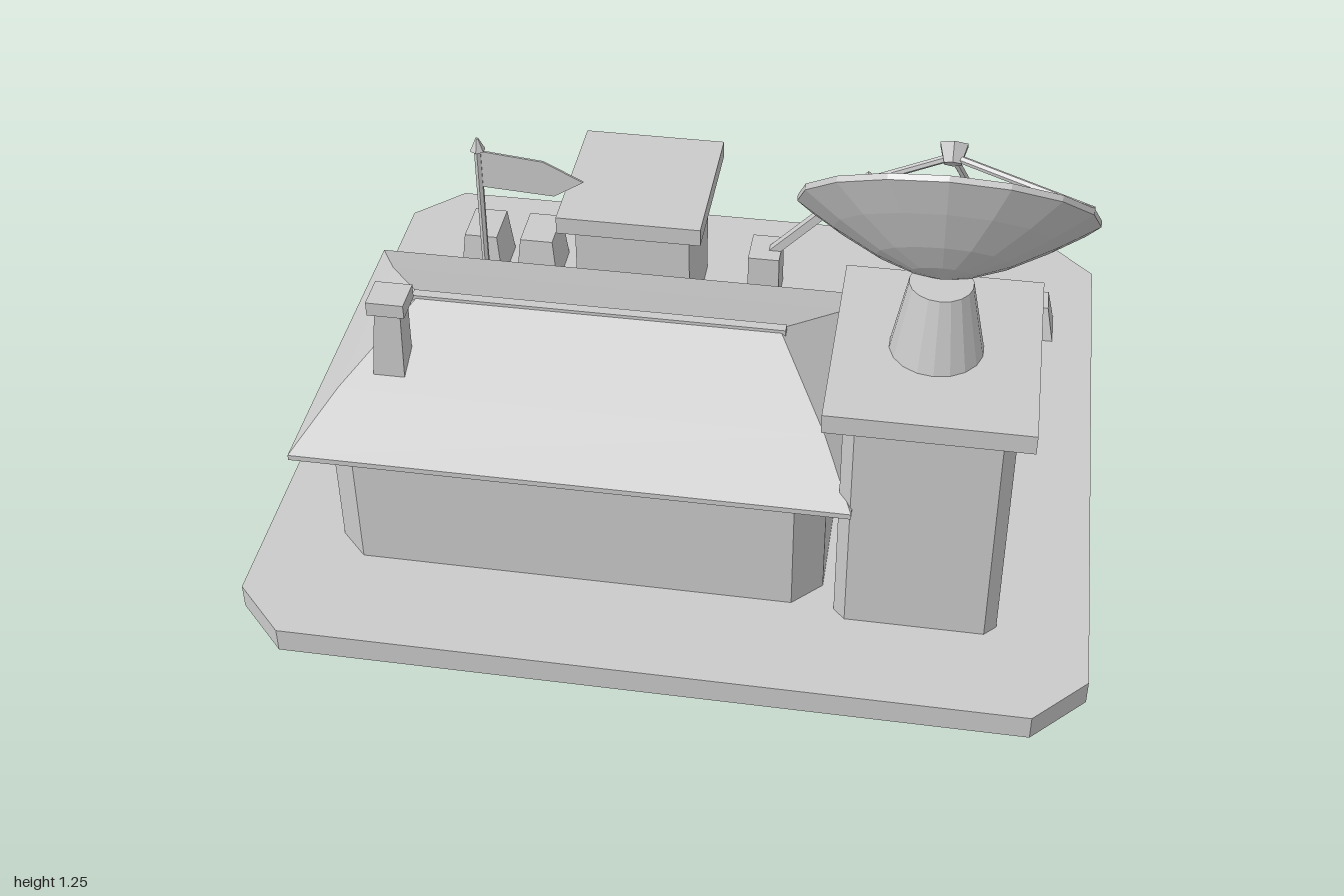
import * as THREE from 'three';

const grey = new THREE.MeshStandardMaterial({ color: 0xcacaca, flatShading: true });
grey.name = 'plain grey';

const GROUND = 0.063;

function add(parent, name, geometry, x = 0, y = 0, z = 0) {
  const mesh = new THREE.Mesh(geometry, grey);
  mesh.name = name;
  mesh.position.set(x, y, z);
  parent.add(mesh);
  return mesh;
}

// Box given by its limits
function block(parent, name, x0, x1, y0, y1, z0, z1) {
  return add(parent, name, new THREE.BoxGeometry(x1 - x0, y1 - y0, z1 - z0),
    (x0 + x1) / 2, (y0 + y1) / 2, (z0 + z1) / 2);
}

// Box whose top face has its own limits
function taper(parent, name, [x0, x1, z0, z1], [a0, a1, c0, c1], y0, y1) {
  const g = new THREE.BoxGeometry(1, 1, 1);
  const p = g.attributes.position;
  for (let i = 0; i < p.count; i++) {
    const top = p.getY(i) > 0, right = p.getX(i) > 0, front = p.getZ(i) > 0;
    p.setXYZ(i, top ? (right ? a1 : a0) : (right ? x1 : x0), top ? y1 : y0,
      top ? (front ? c1 : c0) : (front ? z1 : z0));
  }
  g.computeVertexNormals();
  return add(parent, name, g);
}

// Rectangle with cut corners, in plan
function cutCorners(Type, x0, x1, z0, z1, c) {
  return new Type([
    [x0 + c, -z1], [x1 - c, -z1], [x1, -z1 + c], [x1, -z0 - c],
    [x1 - c, -z0], [x0 + c, -z0], [x0, -z0 - c], [x0, -z1 + c],
  ].map(([x, y]) => new THREE.Vector2(x, y)));
}

function prism(parent, name, shape, y0, y1) {
  const g = new THREE.ExtrudeGeometry(shape, { depth: y1 - y0, bevelEnabled: false });
  g.rotateX(-Math.PI / 2);
  return add(parent, name, g, 0, y0, 0);
}

// Thin bar between two points
function rod(parent, name, from, to, r) {
  const a = new THREE.Vector3(...from), b = new THREE.Vector3(...to);
  const mesh = add(parent, name, new THREE.CylinderGeometry(r, r, a.distanceTo(b), 6));
  mesh.position.copy(a).lerp(b, 0.5);
  mesh.quaternion.setFromUnitVectors(new THREE.Vector3(0, 1, 0), b.sub(a).normalize());
}

// Doorway on a back wall, with its opening height
function doorway(parent, x, wallZ, height) {
  const door = new THREE.Group();
  door.name = 'doorway';
  door.position.set(x, GROUND, wallZ);
  parent.add(door);
  for (const c of [-0.08, 0.08]) {
    block(door, 'doorPost', c - 0.015, c + 0.015, 0, height, -0.022, 0.01);
  }
  block(door, 'lintel', -0.115, 0.115, height, height + 0.025, -0.03, 0.01);
  block(door, 'doorPanel', -0.065, 0.065, 0, height, -0.008, 0);
  block(door, 'handle', 0.035, 0.045, 0.1, 0.135, -0.018, -0.008);
}

export function createModel() {
  const model = new THREE.Group();
  model.name = 'guardedStation';

  // Ground slab, its underside recessed below the doorways
  const slab = cutCorners(THREE.Shape, -1, 1, -0.907, 0.907, 0.125);
  for (const [x, z] of [[-0.2875, -0.145], [-0.2075, -0.71]]) {
    const limits = [x - 0.1325, x + 0.1325, z - 0.065, z + 0.065, 0.04];
    slab.holes.push(cutCorners(THREE.Path, ...limits));
    prism(model, 'doorstep', cutCorners(THREE.Shape, ...limits), GROUND - 0.008, GROUND);
  }
  prism(model, 'groundSlab', slab, 0, GROUND);

  // Long house with hipped roof, a little steeper towards the ridge
  const house = new THREE.Group();
  house.name = 'longHouse';
  model.add(house);
  prism(house, 'houseWalls', cutCorners(THREE.Shape, -0.81, 0.37, -0.078, 0.635, 0.068), 0, 0.4);
  const eaves = [-0.875, 0.435, -0.128, 0.687];
  const middle = [-0.796, 0.356, 0.042, 0.517];
  block(house, 'eaves', -0.875, 0.435, 0.4, 0.414, -0.128, 0.687);
  taper(house, 'lowerRoof', eaves, middle, 0.414, 0.49);
  taper(house, 'upperRoof', middle, [-0.66, 0.225, 0.27, 0.29], 0.49, 0.597);
  block(house, 'ridgeCap', -0.67, 0.235, 0.585, 0.605, 0.267, 0.291);
  taper(house, 'chimney', [-0.724, -0.645, 0.405, 0.48], [-0.702, -0.64, 0.412, 0.478], 0.47, 0.69);
  block(house, 'chimneyCap', -0.717, -0.628, 0.69, 0.726, 0.403, 0.487);
  for (const x of [-0.63, 0.25]) block(house, 'slitWindow', x - 0.013, x + 0.013, 0.2, 0.32, -0.084, -0.077);
  doorway(house, -0.33, -0.078, 0.232);

  // Tower carrying the dish
  const tower = new THREE.Group();
  tower.name = 'tower';
  model.add(tower);
  prism(tower, 'towerWalls', cutCorners(THREE.Shape, 0.403, 0.785, 0.17, 0.668, 0.028), 0, 0.655);
  block(tower, 'towerRoof', 0.36, 0.825, 0.655, 0.704, 0.143, 0.695);
  add(tower, 'pedestal', new THREE.CylinderGeometry(0.072, 0.107, 0.182, 18), 0.59, 0.795, 0.42);

  // Tilted dish with feed horn on three struts
  const dish = new THREE.Group();
  dish.name = 'dish';
  dish.position.set(0.59, 1.006, 0.311);
  dish.rotation.x = -0.805;
  model.add(dish);
  const profile = [[0, -0.158], [0.07, -0.145], [0.15, -0.115], [0.25, -0.062], [0.335, -0.01], [0.335, 0.004],
    [0.25, -0.046], [0.15, -0.098], [0.07, -0.128], [0, -0.141]].map(([r, y]) => new THREE.Vector2(r, y));
  add(dish, 'reflector', new THREE.LatheGeometry(profile, 16));
  for (const end of [[0.122, 0, -0.305], [-0.32, 0, -0.015], [0.308, 0, 0.125]]) {
    rod(dish, 'feedStrut', [0, 0.12, 0], end, 0.009);
  }
  add(dish, 'feedHorn', new THREE.CylinderGeometry(0.036, 0.022, 0.045, 6), 0, 0.125, 0);

  // Guard house
  const guard = new THREE.Group();
  guard.name = 'guardHouse';
  model.add(guard);
  block(guard, 'guardWalls', -0.405, -0.095, 0, 0.41, -0.655, -0.325);
  block(guard, 'guardRoof', -0.445, -0.057, 0.41, 0.46, -0.706, -0.276);
  doorway(guard, -0.25, -0.655, 0.205);
  add(guard, 'doorLamp', new THREE.CylinderGeometry(0.008, 0.016, 0.06, 6), -0.25, 0.345, -0.665);
  block(guard, 'lampBracket', -0.285, -0.215, 0.375, 0.39, -0.672, -0.655);

  // Raised barrier
  block(model, 'barrierPost', 0.04, 0.127, GROUND, 0.21, -0.625, -0.512);
  const arm = block(model, 'barrierArm', -0.195, 0.195, -0.012, 0.012, -0.013, 0.013);
  arm.position.set(0.232, 0.338, -0.569);
  arm.rotation.z = 0.81;

  // Sloped concrete blocks: three by the barrier, two taller by the guard house
  const blocks = [
    [0.348, 0.485, 0.16], [0.55, 0.685, 0.16], [0.758, 0.893, 0.16],
    [-0.783, -0.663, 0.2], [-0.623, -0.503, 0.2],
  ];
  for (const [x0, x1, top] of blocks) {
    const [z0, z1, inset] = top > 0.18 ? [-0.66, -0.5, 0.014] : [-0.568, -0.454, 0.02];
    taper(model, 'concreteBlock', [x0, x1, z0, z1],
      [x0 + inset, x1 - inset, z0 + inset, z1 - inset], GROUND, top);
  }

  // Flagpole and pennant
  block(model, 'flagpoleBase', -0.712, -0.602, GROUND, 0.1, -0.376, -0.268);
  block(model, 'lowSlab', -0.585, -0.471, GROUND, 0.095, -0.376, -0.268);
  rod(model, 'flagpole', [-0.653, 0.1, -0.308], [-0.653, 0.64, -0.308], 0.01);
  add(model, 'poleTip', new THREE.CylinderGeometry(0.004, 0.021, 0.036, 6), -0.653, 0.652, -0.308);
  const corners = [[0, 0.52], [0.2, 0.508], [0.28, 0.56], [0.175, 0.614], [0, 0.632]];
  const pennant = new THREE.Shape(corners.map(([x, y]) => new THREE.Vector2(x, y)));
  add(model, 'pennant', new THREE.ExtrudeGeometry(pennant, { depth: 0.006, bevelEnabled: false }),
    -0.653, 0, -0.311);

  return model;
}
